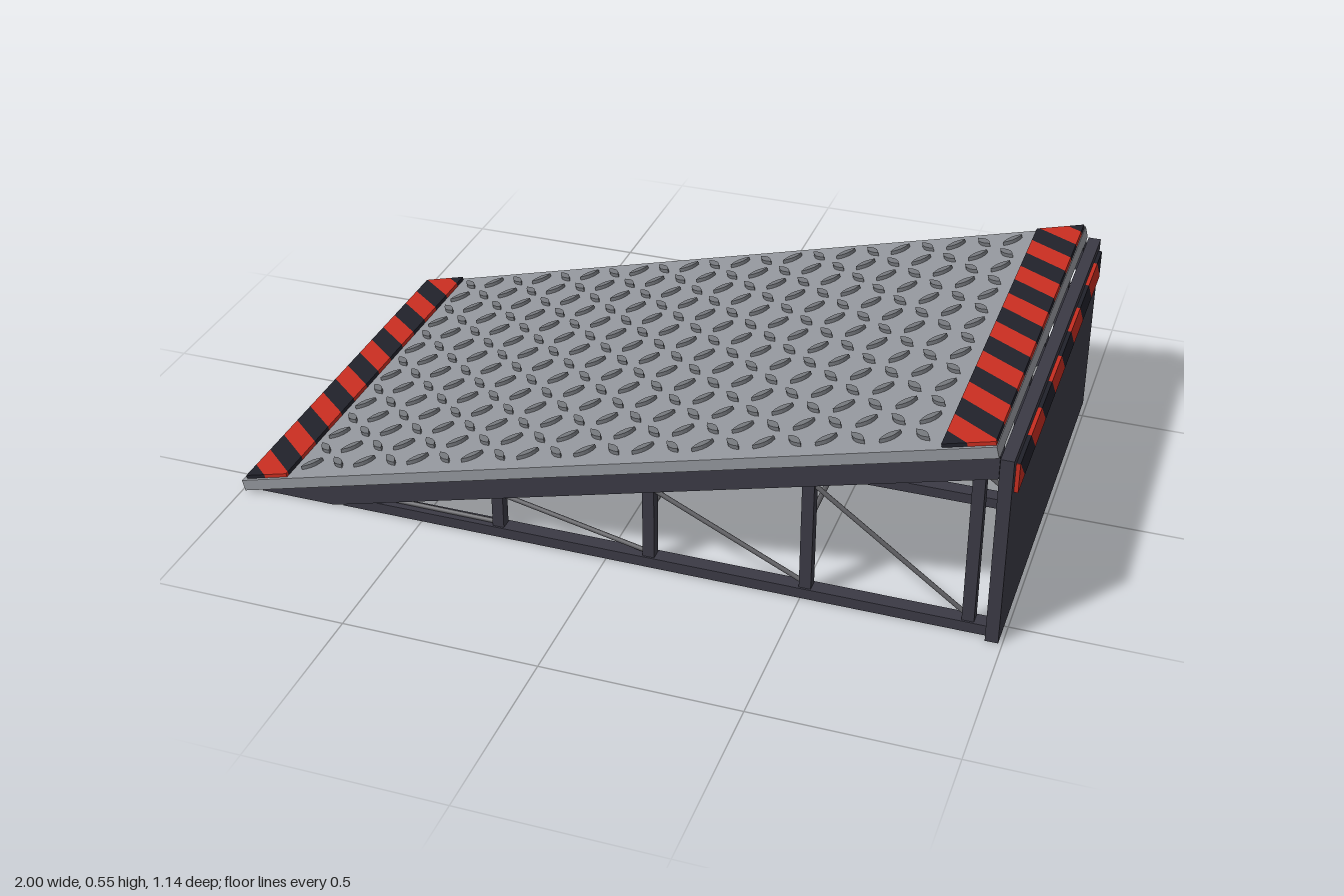
import * as THREE from 'three';

const mat = (name, color) => {
  const m = new THREE.MeshStandardMaterial({ color });
  m.name = name;
  return m;
};

export function createModel() {
  const steel = mat('deck steel', 0x93969c);
  const treadSteel = mat('tread steel', 0x74777c);
  const frameGrey = mat('frame charcoal', 0x3b3a45);
  const rodGrey = mat('brace grey', 0x606064);
  const red = mat('hazard red', 0xc62d20);
  const black = mat('hazard black', 0x20212a);

  const model = new THREE.Group();
  model.name = 'loadingRamp';

  const startX = -0.992, run = 1.947, rise = 0.51, half = 0.57, thick = 0.03;
  const angle = Math.atan2(rise, run), length = Math.hypot(run, rise);
  const deckY = (x) => ((x - startX) * rise) / run; // underside of the deck

  const add = (parent, name, geo, material) => {
    const mesh = new THREE.Mesh(geo, material);
    mesh.name = name;
    parent.add(mesh);
    return mesh;
  };
  const box = (parent, name, material, x0, x1, y0, y1, z0, z1) => {
    const m = add(parent, name, new THREE.BoxGeometry(x1 - x0, y1 - y0, z1 - z0), material);
    m.position.set((x0 + x1) / 2, (y0 + y1) / 2, (z0 + z1) / 2);
    return m;
  };
  const rod = (parent, name, a, b, radius) => {
    const d = b.clone().sub(a);
    const m = add(parent, name, new THREE.CylinderGeometry(radius, radius, d.length(), 8), rodGrey);
    m.position.copy(a).add(b).multiplyScalar(0.5);
    m.quaternion.setFromUnitVectors(new THREE.Vector3(0, 1, 0), d.normalize());
    return m;
  };

  // Keep the part of a convex polygon on one side of a vertical line
  const clip = (pts, limit, sign) => {
    const out = [];
    pts.forEach((p, i) => {
      const q = pts[(i + 1) % pts.length];
      const dp = sign * (limit - p.x), dq = sign * (limit - q.x);
      if (dp >= 0) out.push(p);
      if (dp * dq < 0) out.push(p.clone().lerp(q, dp / (dp - dq)));
    });
    return out;
  };
  // Slanted red and black plates filling a strip
  const hazardStrip = (name, halfLen, width, start, period, shift, depth) => {
    const group = new THREE.Group();
    group.name = name;
    const w = period / 2;
    for (let k = -20; k <= 20; k++) {
      const u = start + k * w;
      let pts = [[u, 0], [u + w, 0], [u + w + shift, width], [u + shift, width]]
        .map(([x, y]) => new THREE.Vector2(x, y));
      pts = clip(clip(pts, halfLen, 1), -halfLen, -1);
      if (pts.length < 3) continue;
      const geo = new THREE.ExtrudeGeometry(new THREE.Shape(pts), { depth, bevelEnabled: false });
      add(group, k % 2 ? 'blackStripe' : 'redStripe', geo, k % 2 ? black : red);
    }
    return group;
  };

  // Sloping deck, in its own frame: x runs up the slope, y is its normal
  const deck = new THREE.Group();
  deck.name = 'deck';
  deck.position.x = startX;
  deck.rotation.z = angle;
  model.add(deck);
  box(deck, 'deckPlate', steel, 0, length, 0, thick, -half, half);
  const slopeS = (x) => (x + 1) / Math.cos(angle);

  // Hazard bands at both ends of the deck
  for (const [name, x0, x1] of [['lowerHazardBand', -0.988, -0.87], ['upperHazardBand', 0.822, 0.945]]) {
    const s0 = slopeS(x0), s1 = slopeS(x1);
    const band = hazardStrip(name, 0.562, s1 - s0, -0.476, 0.153, s1 - s0, 0.0098);
    band.quaternion.setFromRotationMatrix(new THREE.Matrix4().makeBasis(
      new THREE.Vector3(0, 0, -1), new THREE.Vector3(-1, 0, 0), new THREE.Vector3(0, 1, 0)));
    band.position.set(s1, thick, 0);
    deck.add(band);
  }

  // Raised lens-shaped treads, alternating diagonals
  const lens = new THREE.Shape();
  lens.moveTo(-0.03, 0);
  lens.quadraticCurveTo(0, -0.02, 0.03, 0);
  lens.quadraticCurveTo(0, 0.02, -0.03, 0);
  const lensGeo = new THREE.ExtrudeGeometry(lens, { depth: 0.01, bevelEnabled: false, curveSegments: 5 });
  lensGeo.rotateX(-Math.PI / 2);
  const treads = new THREE.Group();
  treads.name = 'treads';
  deck.add(treads);
  for (let i = 0; i < 22; i++) {
    for (let j = 0; j < 14; j++) {
      const t = add(treads, 'tread', lensGeo, treadSteel);
      t.position.set(slopeS(-0.823 + i * 0.0757), thick, -0.513 + j * 0.0785);
      t.rotation.y = ((i + j) % 2 ? 1 : -1) * Math.PI / 4;
    }
  }

  // Three side trusses
  const beamDrop = 0.065, beamEnd = 0.955;
  const beamShape = new THREE.Shape([
    [-0.95, 0], [startX + (beamDrop * run) / rise, 0],
    [beamEnd, deckY(beamEnd) - beamDrop], [beamEnd, deckY(beamEnd)], [-0.95, deckY(-0.95)],
  ].map(([x, y]) => new THREE.Vector2(x, y)));
  const posts = [-0.29, 0.11, 0.51, 0.91];
  for (const z of [-0.53, 0, 0.53]) {
    const truss = new THREE.Group();
    truss.name = 'truss';
    truss.position.z = z;
    model.add(truss);
    const beam = new THREE.ExtrudeGeometry(beamShape, { depth: 0.05, bevelEnabled: false });
    add(truss, 'slopingBeam', beam.translate(0, 0, -0.025), frameGrey);
    box(truss, 'bottomRail', frameGrey, -0.72, 0.96, 0, 0.028, -0.02, 0.02);
    posts.forEach((x, i) => {
      box(truss, 'post', frameGrey, x - 0.015, x + 0.015, 0.02, deckY(x) - 0.04, -0.015, 0.015);
      const from = x - 0.4;
      rod(truss, 'diagonalBrace',
        new THREE.Vector3(from, i ? deckY(from) - beamDrop : 0.035, 0),
        new THREE.Vector3(x, 0.032, 0), 0.006);
    });
  }

  // Cross rods tying the trusses together
  for (const x of posts.slice(0, 3)) {
    const y = deckY(x) * 0.55;
    rod(model, 'crossRod', new THREE.Vector3(x, y, -0.53), new THREE.Vector3(x, y, 0.53), 0.007);
  }

  // End panel with its hazard plate
  box(model, 'endPanel', frameGrey, 0.958, 0.99, 0, 0.508, -half, half);
  const plate = hazardStrip('endHazardPlate', 0.543, 0.077, -0.338, 0.253, -0.077, 0.0098);
  plate.rotation.y = Math.PI / 2;
  plate.position.set(0.99, 0.41, 0);
  model.add(plate);

  return model;
}
